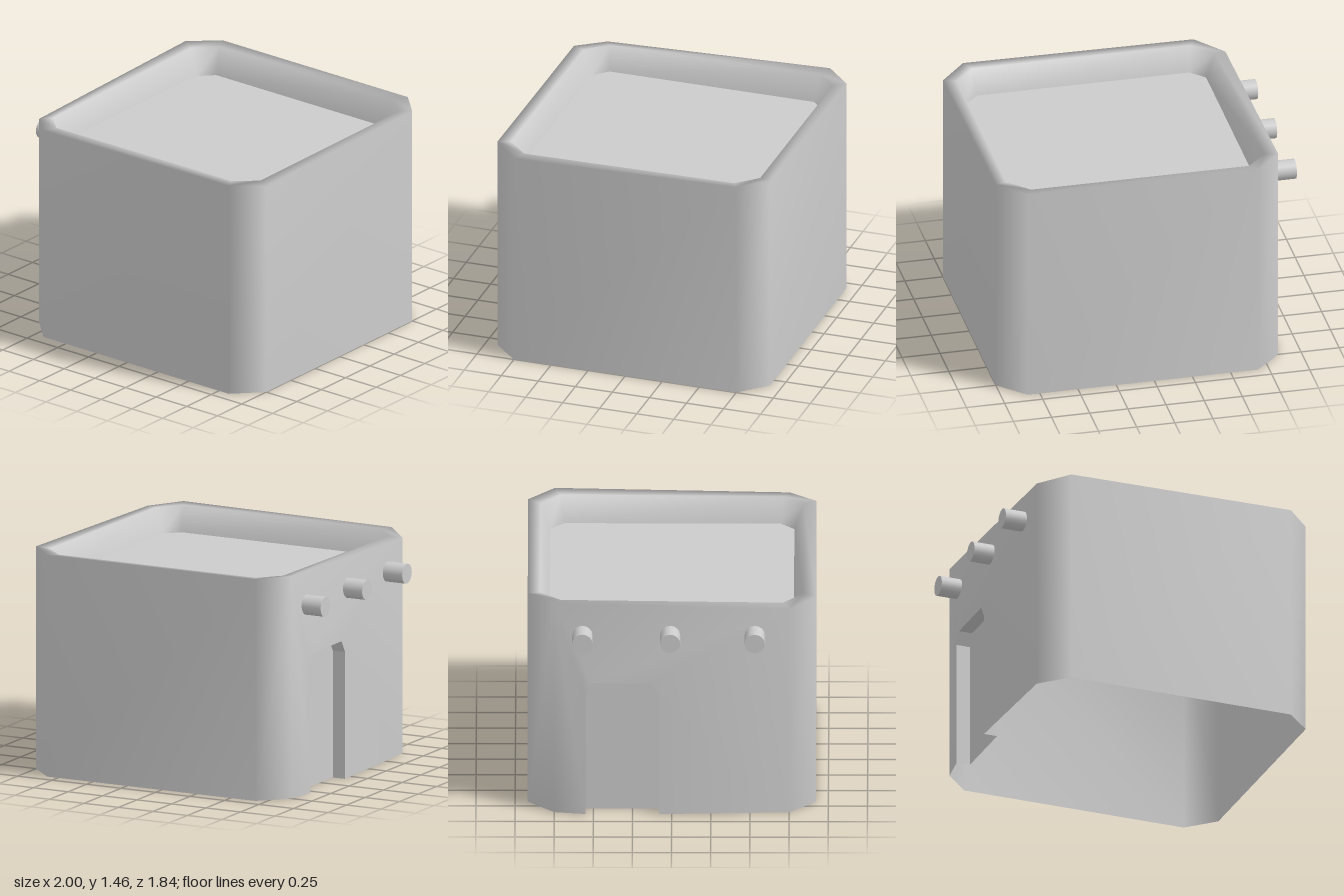
import * as THREE from 'three';
import { mergeGeometries, mergeVertices } from 'three/addons/utils/BufferGeometryUtils.js';

const material = new THREE.MeshStandardMaterial({ color: 0xcccccc, side: THREE.DoubleSide });

const WALL_X = -0.85;   // plane of the door wall
const BULGE_X = -0.88;  // wall swells slightly around the door
const RECESS_X = -0.79; // back of the door recess

// Outline of the doorway as [z, y], up one side and down the other
const DOOR = [[-0.55, 0], [-0.55, 0.83], [-0.51, 0.91], [-0.13, 0.91], [-0.08, 0.83], [-0.08, 0]];

// Slightly uneven height of the parapet at its eight corners
const RIM_Y = [1.41, 1.43, 1.44, 1.425, 1.455, 1.45, 1.45, 1.455];

// Square with cut corners, starting at the front end of the door wall
function octagon(x0, x1, z, cut, heights) {
  const e = z - cut;
  const plan = [[x0, e], [x0 + cut, z], [x1 - cut, z], [x1, e], [x1, -e], [x1 - cut, -z], [x0 + cut, -z], [x0, -e]];
  return plan.map(([px, pz], i) => [px, Array.isArray(heights) ? heights[i] : heights, pz]);
}

function build(points, index) {
  const g = new THREE.BufferGeometry();
  g.setAttribute('position', new THREE.Float32BufferAttribute(points.flat(), 3));
  g.setIndex(index);
  return g;
}

function quad(index, a, b, c, d) {
  index.push(a, b, c, a, c, d);
}

function addMesh(group, name, geometry) {
  const mesh = new THREE.Mesh(geometry, material);
  mesh.name = name;
  group.add(mesh);
  return mesh;
}

// Three plain walls, the parapet and its inner slope
function shellGeometry() {
  const rings = [
    octagon(-0.85, 1, 0.92, 0.17, 0),
    octagon(-0.85, 1, 0.92, 0.17, RIM_Y),
    octagon(-0.77, 0.92, 0.84, 0.13, RIM_Y.map((y) => y * 0.4 + 0.86)),
    octagon(-0.71, 0.86, 0.78, 0.09, 1.27),
  ];
  const index = [];
  for (let r = 0; r < rings.length - 1; r++) {
    for (let i = 0; i < 8; i++) {
      if (r === 0 && i === 7) continue; // door wall is made separately
      const j = (i + 1) % 8;
      quad(index, r * 8 + i, r * 8 + j, r * 8 + 8 + j, r * 8 + 8 + i);
    }
  }
  return build(rings.flat(), index);
}

// Wall with the doorway cut out, swelling around the opening
function doorWallGeometry() {
  const outline = [[-0.75, 0], ...DOOR, [0.75, 0], [0.75, RIM_Y[0]], [-0.75, RIM_Y[7]]];
  const g = new THREE.ShapeGeometry(new THREE.Shape(outline.map(([z, y]) => new THREE.Vector2(z, y))));
  const p = g.attributes.position;
  for (let i = 0; i < p.count; i++) {
    const z = p.getX(i);
    p.setXYZ(i, Math.abs(z) > 0.7 ? WALL_X : BULGE_X, p.getY(i), z);
  }
  g.deleteAttribute('normal');
  g.deleteAttribute('uv');
  return g;
}

// Jambs, lintel and back panel of the doorway
function recessGeometry() {
  const n = DOOR.length;
  const points = [BULGE_X, RECESS_X].flatMap((x) => DOOR.map(([z, y]) => [x, y, z]));
  const index = [];
  for (let i = 0; i < n - 1; i++) quad(index, i, n + i, n + i + 1, i + 1);
  for (let i = 1; i < n - 1; i++) index.push(n, n + i + 1, n + i);
  const g = build(points, index).toNonIndexed();
  g.computeVertexNormals();
  return g;
}

export function createModel() {
  const house = new THREE.Group();
  house.name = 'house';

  // Walls and parapet share smooth normals
  const walls = mergeVertices(mergeGeometries([shellGeometry(), doorWallGeometry()]));
  walls.computeVertexNormals();
  addMesh(house, 'walls', walls);

  // Sunken flat roof
  const roofIndex = [];
  for (let i = 1; i < 7; i++) roofIndex.push(0, i, i + 1);
  const roof = build(octagon(-0.71, 0.86, 0.78, 0.09, 1.27), roofIndex);
  roof.computeVertexNormals();
  addMesh(house, 'roof', roof);

  addMesh(house, 'doorRecess', recessGeometry());

  // Beam ends sticking out above the door
  const beam = new THREE.CylinderGeometry(0.065, 0.065, 0.2, 16).rotateZ(Math.PI / 2);
  for (const z of [-0.57, -0.01, 0.53]) {
    addMesh(house, 'roofBeam', beam).position.set(-0.9, 1.235, z);
  }

  return house;
}
